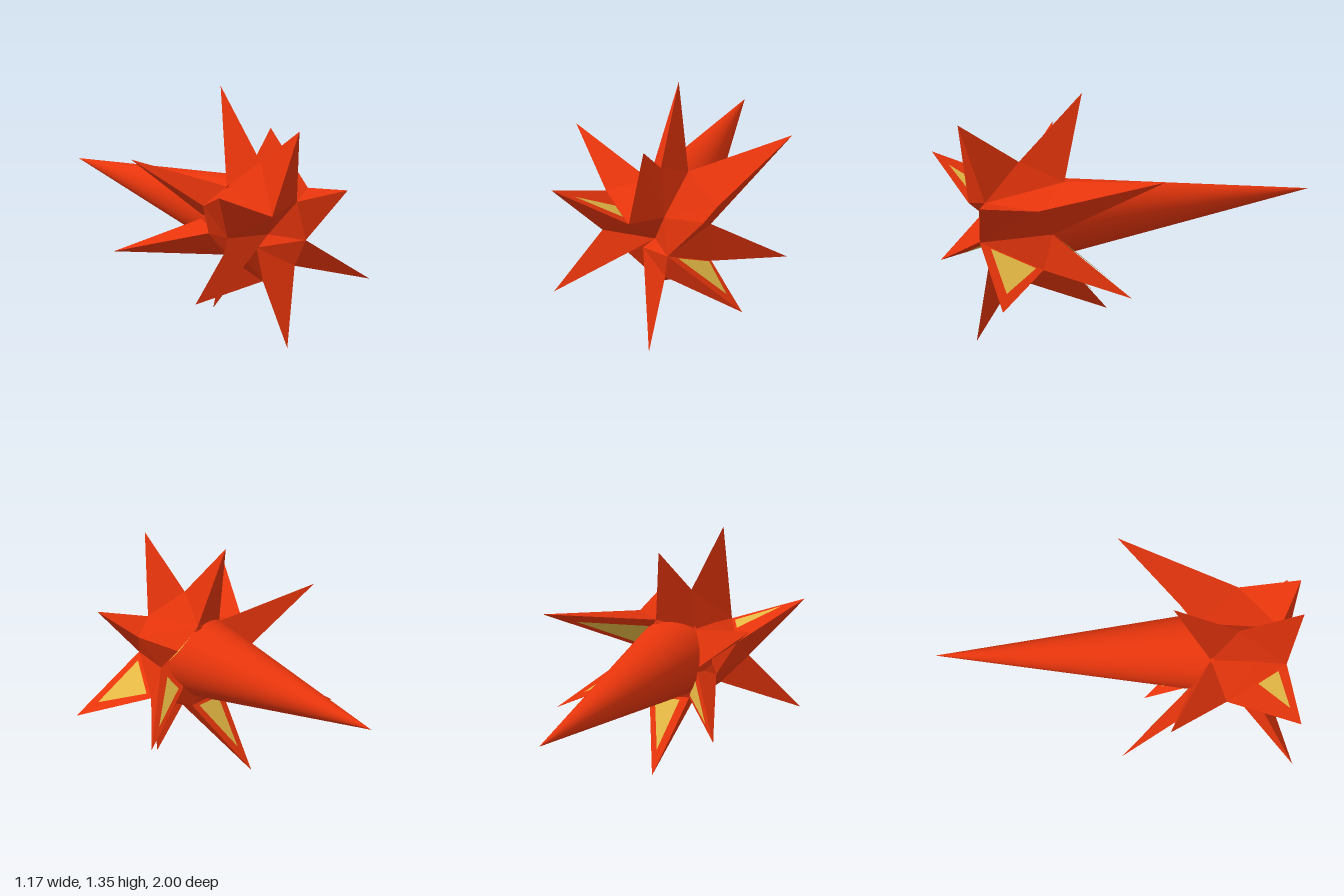
import * as THREE from 'three';
import { ConvexGeometry } from 'three/addons/geometries/ConvexGeometry.js';

const red = new THREE.MeshStandardMaterial({ color: 0xec360c });
red.name = 'orangeRed';
const gold = new THREE.MeshStandardMaterial({ color: 0xe4b844, side: THREE.DoubleSide });
gold.name = 'gold';

const v = (x, y, z) => new THREE.Vector3(x, y, z);

// Corners of the faceted body, shared by the spike bases
const P = {
  top: v(0, 0.99, 0.65),
  frontTopR: v(-0.11, 0.75, 0.90), frontTopL: v(0.08, 0.80, 0.87),
  backTopR: v(-0.11, 0.84, 0.49), backTopL: v(0.09, 0.88, 0.42),
  sideTopL: v(0.32, 0.80, 0.65), sideMidL: v(0.25, 0.64, 0.54), sideLowL: v(0.27, 0.45, 0.60),
  frontMidL: v(0.11, 0.59, 0.91), frontMid: v(-0.01, 0.605, 0.73),
  frontLowR: v(-0.08, 0.54, 0.72), frontLowL: v(0.08, 0.44, 0.85),
  sideFrontR: v(-0.30, 0.63, 0.75), sideBackR: v(-0.33, 0.78, 0.57),
  sideMidR: v(-0.24, 0.60, 0.50), sideLowR: v(-0.20, 0.50, 0.62),
  backMidR: v(-0.18, 0.66, 0.39), backLowR: v(-0.10, 0.45, 0.45),
  backMidL: v(0.19, 0.53, 0.43), backLowL: v(0.13, 0.43, 0.42),
  bottom: v(0, 0.33, 0.67),
};

// The hollowed body as a few convex chunks
const BODY = {
  core: ['frontMid', 'sideFrontR', 'sideMidR', 'sideLowR', 'frontLowR', 'bottom', 'sideLowL', 'sideMidL',
    'backTopR', 'backTopL', 'backMidR', 'backMidL', 'backLowR', 'backLowL'],
  brow: ['frontTopR', 'frontTopL', 'frontMid', 'sideFrontR', 'sideBackR', 'backTopR', 'sideMidR'],
  leftShoulder: ['frontTopL', 'frontMidL', 'frontMid', 'sideTopL', 'sideMidL', 'backTopL'],
  leftHip: ['frontMid', 'frontMidL', 'frontLowL', 'frontLowR', 'sideLowL', 'sideMidL', 'bottom'],
  topRidge: ['top', 'frontTopR', 'frontTopL', 'backTopR', 'backTopL'],
};

// Name, tip, three base corners; where given, a gold plate lies on the face of the
// first two corners, spanning that range of their edge
const SPIKES = [
  ['topFrontSpike', v(0, 1.23, 1.0), 'frontTopR', 'frontTopL', 'top'],
  ['topBackSpike', v(0, 1.345, 0.29), 'backTopR', 'backTopL', 'top'],
  ['rightBackUpperSpike', v(-0.585, 1.015, 0.26), 'backTopR', 'sideBackR', 'backMidR'],
  ['rightFrontUpperSpike', v(-0.525, 0.93, 0.97), 'frontTopR', 'sideBackR', 'sideFrontR', [0.15, 0.5]],
  ['leftBackUpperSpike', v(0.558, 0.97, 0), 'backTopL', 'sideMidL', 'sideTopL', [0.2, 0.85]],
  ['leftFrontUpperSpike', v(0.335, 0.85, 0.99), 'frontTopL', 'frontMidL', 'sideTopL'],
  ['rightBackLowerSpike', v(-0.505, 0.44, 0), 'backMidR', 'backLowR', 'sideMidR', [0.2, 0.85]],
  ['rightFrontLowerSpike', v(-0.525, 0.31, 0.92), 'frontMid', 'sideLowR', 'sideFrontR', [0.35, 0.8]],
  ['leftBackLowerSpike', v(0.583, 0.34, 0.2), 'sideMidL', 'backMidL', 'sideLowL', [0.3, 0.85]],
  ['leftFrontLowerSpike', v(0.533, 0.315, 0.92), 'frontMidL', 'sideLowL', 'frontLowL', [0.16, 0.9]],
  ['bottomFrontSpike', v(0, 0, 0.89), 'frontLowR', 'frontLowL', 'bottom'],
  ['bottomBackSpike', v(-0.05, 0.10, 0.13), 'backLowR', 'backLowL', 'bottom', [0.2, 0.85]],
];

function solid(name, points) {
  const mesh = new THREE.Mesh(new ConvexGeometry(points), red);
  mesh.name = name;
  return mesh;
}

// Gold triangle set a little proud of the spike face p, q, tip; inner lies inside the spike
function goldPlate(p, q, tip, inner, [from, to]) {
  const n = q.clone().sub(p).cross(tip.clone().sub(p)).normalize();
  const flip = n.dot(p.clone().sub(inner)) < 0;
  if (flip) n.negate();
  const mid = p.clone().lerp(q, (from + to) / 2);
  const corners = [
    p.clone().lerp(q, from).lerp(tip, 0.04),
    p.clone().lerp(q, to).lerp(tip, 0.04),
    tip.clone().lerp(mid, 0.32),
  ].map((c) => c.addScaledVector(n, 0.008));
  if (flip) corners.reverse();
  const geo = new THREE.BufferGeometry().setFromPoints(corners);
  geo.computeVertexNormals();
  const plate = new THREE.Mesh(geo, gold);
  plate.name = 'goldPlate';
  return plate;
}

export function createModel() {
  const model = new THREE.Group();
  model.name = 'spikedStar';

  // Faceted body
  for (const [name, keys] of Object.entries(BODY)) model.add(solid(name, keys.map((k) => P[k])));

  // Three-sided spikes with their gold plates
  for (const [name, tip, a, b, c, span] of SPIKES) {
    const corners = [P[a], P[b], P[c], tip];
    const group = new THREE.Group();
    group.name = name;
    group.add(solid('spike', corners));
    if (span) {
      const inner = corners.reduce((s, p) => s.add(p), v(0, 0, 0)).multiplyScalar(0.25);
      group.add(goldPlate(P[a], P[b], tip, inner, span));
    }
    model.add(group);
  }

  // Long smooth cone reaching backwards, its base sunk into the body
  const start = v(0.005, 0.662, 0.5);
  const end = v(0.01, 0.685, -1);
  const axis = end.clone().sub(start);
  const cone = new THREE.Mesh(new THREE.ConeGeometry(0.22, axis.length(), 48), red);
  cone.name = 'backCone';
  cone.position.copy(start).lerp(end, 0.5);
  cone.quaternion.setFromUnitVectors(v(0, 1, 0), axis.normalize());
  model.add(cone);

  return model;
}
